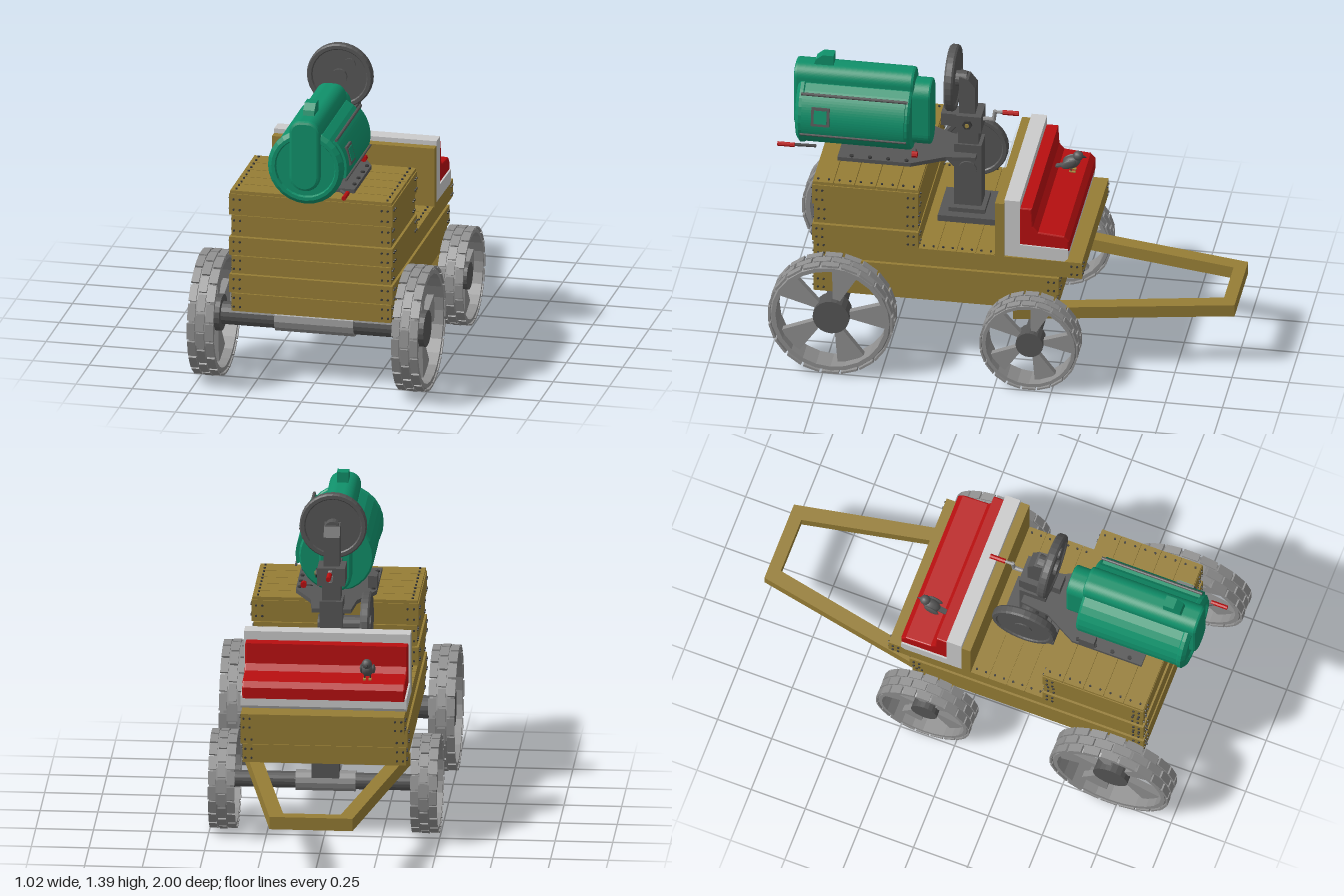
import * as THREE from 'three';
import { mergeGeometries } from 'three/addons/utils/BufferGeometryUtils.js';

const mat = (name, color) => Object.assign(new THREE.MeshStandardMaterial({ color }), { name });

export function createModel() {
  const root = new THREE.Group();
  root.name = 'wagon';
  const wood = mat('wood', 0x967d35), green = mat('green paint', 0x10906a), iron = mat('dark iron', 0x565656);
  const steel = mat('wheel steel', 0x8f8f8f), red = mat('red', 0xb80f10), white = mat('white frame', 0xcbcbcb);
  const black = mat('dark fittings', 0x3a3a3a), tan = mat('brass', 0xa08a40);

  const add = (name, geo, m, parent = root) => {
    const mesh = new THREE.Mesh(geo, m);
    mesh.name = name;
    parent.add(mesh);
    return mesh;
  };
  const flat = g => { const f = g.index ? g.toNonIndexed() : g; f.computeVertexNormals(); return f; };
  const boxGeo = (x0, x1, y0, y1, z0, z1) =>
    new THREE.BoxGeometry(x1 - x0, y1 - y0, z1 - z0).translate((x0 + x1) / 2, (y0 + y1) / 2, (z0 + z1) / 2);
  const box = (name, m, ...b) => add(name, boxGeo(...b), m);
  // Cylinder running from point a to point b
  const rodGeo = (a, b, r, sides = 12, r2 = r) => {
    const p = new THREE.Vector3(...a), d = new THREE.Vector3(...b).sub(p);
    const g = new THREE.CylinderGeometry(r2, r, d.length(), sides).translate(0, d.length() / 2, 0);
    g.applyQuaternion(new THREE.Quaternion().setFromUnitVectors(new THREE.Vector3(0, 1, 0), d.normalize()));
    return flat(g.translate(p.x, p.y, p.z));
  };
  const rod = (name, m, ...a) => add(name, rodGeo(...a), m);
  const extrude = (shape, depth, bevel = 0) => new THREE.ExtrudeGeometry(shape, {
    depth, bevelEnabled: bevel > 0, bevelSize: bevel, bevelThickness: bevel, bevelSegments: 2, curveSegments: 8 });
  const poly = pts => new THREE.Shape(pts.map(p => new THREE.Vector2(...p)));

  // Planked body: stacked rows over a recessed core, [bottom, top, back, front]
  const rows = [[.327, .408, -.25, .815], [.413, .496, -.26, .82], [.501, .58, -.36, .815],
    [.585, .667, .355, .82], [.672, .765, .358, .812], [.77, .865, .355, .82]];
  const bolts = [];
  const bolt = (x, y, z, nx, ny, nz) =>
    bolts.push(rodGeo([x, y, z], [x + nx * .006, y + ny * .006, z + nz * .006], .005, 6));
  rows.forEach(([y0, y1, z0, z1], i) => {
    const w = i % 2 ? .362 : .354, h = (y1 - y0) / 4;
    box('plank row', wood, -w, w, y0, y1, z0, z1);
    for (const s of [-1, 1]) for (const y of [y0 + h, y1 - h]) {
      for (const x of [.315, .342]) { bolt(s * x, y, z1, 0, 0, 1); bolt(s * x, y, z0, 0, 0, -1); }
      for (const d of [.02, .045]) { bolt(s * w, y, z1 - d, s, 0, 0); bolt(s * w, y, z0 + d, s, 0, 0); }
    }
  });
  box('lower core', wood, -.34, .34, .335, .575, -.24, .8);
  box('crate core', wood, -.345, .345, .575, .87, .368, .8);
  const boards = (z0, z1, n, y0, y1) => {
    const step = (z1 - z0) / n;
    for (let i = 0; i < n; i++) {
      const z = z0 + i * step;
      box('top board', wood, -.358, .358, y0, y1, z + .002, z + step - .002);
      for (const s of [-1, 1]) for (const t of [.25, .75]) bolt(s * .335, y1, z + step * t, 0, 1, 0);
    }
  };
  boards(.355, .82, 5, .866, .88);
  boards(.02, .355, 4, .578, .586);
  add('bolts', mergeGeometries(bolts), black);

  // Pull frame
  const frame = poly([[-.36, .06], [-.18, 1], [.18, 1], [.36, .06], [.3, .06], [.125, .945], [-.125, .945], [-.3, .06]]);
  add('pull frame', extrude(frame, .056).rotateX(-Math.PI / 2).translate(0, .27, 0), wood);

  // Bench: side profile drawn with -z to the right, extruded across the wagon
  const across = (shape, w, bevel = 0) =>
    extrude(shape, 2 * (w - bevel), bevel).translate(0, 0, bevel - w).rotateY(Math.PI / 2);
  box('bench back board', wood, -.36, .36, .58, .85, -.02, .02);
  add('bench frame', across(poly([[.022, .59], [.022, .87], [.09, .87], [.09, .65], [.3, .645], [.3, .6], [.285, .585]]), .36), white);
  add('bench cushion', across(poly([[.092, .64], [.092, .825], [.135, .825], [.14, .74], [.165, .71], [.28, .7],
    [.298, .68], [.298, .64]]), .352, .006), red);

  // Wheels
  const wheel = (x, y, z, r, hub) => {
    const g = new THREE.Group();
    g.name = 'wheel';
    const w = .054;
    const ring = [[r * .88, -w], [r * .95, -w], [r * .975, -w * .7], [r * .975, w * .7], [r * .95, w], [r * .88, w], [r * .88, -w]];
    add('rim', flat(new THREE.LatheGeometry(ring.map(p => new THREE.Vector2(...p)), 24).rotateX(Math.PI / 2)), steel, g);
    const lugs = [];
    for (let row = -1; row <= 1; row++) for (let i = 0; i < 20; i++) {
      const lug = new THREE.BoxGeometry(r * .035, r * .27, .034);
      lugs.push(lug.translate(r * .982, 0, row * .041).rotateZ((i + (row ? 0 : .5)) * Math.PI / 10));
    }
    add('tread', mergeGeometries(lugs), steel, g);
    for (let i = 0; i < 5; i++) {
      const a = (75 + 72 * i) * Math.PI / 180, c = t => [Math.cos(t), Math.sin(t)];
      const at = (q, t) => c(a + t).map(v => v * q);
      const spoke = poly([at(hub * .9, -.2), at(r * .9, -.26), at(r * .9, .26), at(hub * .9, .2)]);
      add('spoke', extrude(spoke, .03).translate(0, 0, -.015), steel, g);
    }
    add('hub', rodGeo([0, 0, -.04], [0, 0, .04], hub, 20), iron, g);
    g.position.set(x, y, z);
    g.rotation.y = Math.PI / 2;
    root.add(g);
  };
  for (const s of [-1, 1]) {
    wheel(s * .453, .28, .716, .273, .08);
    wheel(s * .438, .218, -.15, .215, .06);
  }
  rod('large axle', iron, [-.45, .28, .716], [.45, .28, .716], .05, 16);
  rod('large axle sleeve', steel, [-.175, .275, .716], [.175, .275, .716], .056, 12);
  rod('small axle', iron, [-.44, .22, -.15], [.44, .22, -.15], .036, 16);
  rod('small axle sleeve', steel, [-.13, .22, -.15], [.13, .22, -.15], .046, 12);
  box('small axle mount', iron, -.06, .06, .24, .34, -.19, -.11);

  // Engine barrel with a wrap-round hump
  const cy = 1.05;
  const barrel = [[0, .43], [.155, .43], [.163, .44], [.163, .895], [.168, .9], [.168, .915], [.15, .93], [.135, .93], [.13, .92], [0, .92]];
  add('barrel', flat(new THREE.LatheGeometry(barrel.map(p => new THREE.Vector2(...p)), 28)
    .rotateX(Math.PI / 2).scale(1, 1, 1).translate(0, cy, 0)), green).material.side = THREE.DoubleSide;
  const arch = (w, y0, y1, r) => {
    const s = new THREE.Shape();
    s.absarc(0, y0 + w, w, Math.PI, 2 * Math.PI, false);
    s.absarc(w - r, y1 - r, r, 0, Math.PI / 2, false);
    s.absarc(r - w, y1 - r, r, Math.PI / 2, Math.PI, false);
    return s;
  };
  add('barrel hump', extrude(arch(.055, .96, 1.255, .04), .5, .013).translate(0, 0, .437), green);
  add('barrel back cover', extrude(arch(.06, .92, 1.21, .05), .08, .01).translate(0, 0, .36), green);
  add('chimney', across(poly([[-.875, 1.24], [-.86, 1.29], [-.83, 1.315], [-.782, 1.315], [-.782, 1.24]]), .025), green);
  // Curved side panel with hinge rods and a window
  const panel = new THREE.Shape();
  panel.absarc(0, 0, .178, -.25, .78, false);
  panel.absarc(0, 0, .15, .78, -.25, true);
  add('side panel', extrude(panel, .45).translate(0, cy, .45), green);
  rod('upper hinge rod', iron, [.132, 1.178, .44], [.132, 1.178, .905], .007, 8);
  rod('lower hinge rod', iron, [.176, 1.0, .44], [.176, 1.0, .905], .005, 8);
  const win = new THREE.Group();
  win.name = 'window';
  win.position.set(0, cy, .815);
  win.rotation.z = .24;
  add('window frame', boxGeo(.172, .184, -.042, .042, -.04, .04), iron, win);
  add('window pane', boxGeo(.182, .187, -.03, .03, -.028, .028), green, win);
  root.add(win);
  rod('lever rod', iron, [.14, .925, .84], [.185, .95, .94], .007, 8);
  rod('lever grip', red, [.188, .95, .925], [.188, .95, 1], .01, 8);
  rod('red knob', red, [.14, .925, .395], [.14, .925, .42], .014, 8);
  rod('knob stem', iron, [.1, .925, .41], [.14, .925, .41], .007, 8);

  // Mounting plate
  const plate = poly([[-.175, -.74], [.175, -.74], [.175, -.42], [.1, -.28], [.085, -.15], [-.085, -.15], [-.1, -.28], [-.175, -.42]]);
  add('mounting plate', extrude(plate, .018).rotateX(-Math.PI / 2).translate(0, .882, 0), iron);
  box('plate bracket', iron, -.175, -.135, .89, .955, .45, .52);
  for (const s of [-1, 1]) for (const z of [.44, .52, .6, .68])
    rod('plate bolt', black, [s * .16, .9, z], [s * .16, .907, z], .009, 8);

  // Drive column
  box('column base', iron, -.115, .12, .585, .615, .06, .31);
  box('column foot', iron, -.08, .08, .615, .635, .11, .27);
  box('column', iron, -.05, .05, .63, .94, .13, .25);
  box('column neck', iron, -.04, .04, .93, 1.02, .145, .235);
  box('gear box', iron, -.06, .06, 1.01, 1.09, .13, .24);
  box('gear box nose', iron, -.035, .035, 1.02, 1.08, .23, .31);
  rod('gear nut', black, [.055, 1.05, .19], [.07, 1.05, .19], .022, 6);
  rod('gear pin', tan, [.07, 1.05, .19], [.075, 1.05, .19], .01, 8);
  add('column head', across(poly([[-.23, 1.08], [-.23, 1.27], [-.19, 1.26], [-.16, 1.22], [-.16, 1.08]]), .035), iron);
  rod('lower shaft', iron, [-.17, .82, .19], [.06, .82, .19], .04, 16);
  // Flywheels share one rimmed profile
  const fly = () => flat(new THREE.LatheGeometry([[0, -.014], [.12, -.014], [.125, -.02], [.14, -.02], [.146, -.012],
    [.146, .012], [.14, .02], [.125, .02], [.12, .014], [0, .014]].map(p => new THREE.Vector2(...p)), 32));
  add('lower flywheel', fly().rotateZ(Math.PI / 2).translate(-.15, .82, .19), iron);
  add('upper flywheel', fly().rotateX(Math.PI / 2).translate(0, 1.245, .262), iron);
  rod('upper shaft', iron, [0, 1.245, .2], [0, 1.245, .29], .035, 16);
  rod('flywheel knob', iron, [.046, 1.305, .26], [.046, 1.305, .285], .025, 14);
  // Hand crank
  rod('crank shaft', steel, [0, 1.05, .14], [0, 1.05, .08], .01, 8);
  rod('crank arm', steel, [0, 1.045, .085], [0, 1.095, .078], .009, 8);
  rod('crank pin', steel, [0, 1.09, .085], [0, 1.09, .04], .007, 8);
  rod('crank grip', red, [0, 1.09, .045], [0, 1.09, -.025], .011, 8);

  // Bird on the bench
  const bird = new THREE.Group();
  bird.name = 'bird';
  bird.position.set(-.185, .7, -.225);
  const ball = (name, r, s, p, tilt = 0) => {
    const m = add(name, new THREE.SphereGeometry(r, 12, 8), iron, bird);
    m.scale.set(...s); m.position.set(...p); m.rotation.x = tilt;
  };
  ball('bird body', .03, [.9, .95, 1.4], [0, .052, 0], .45);
  ball('bird head', .022, [1, 1, 1.05], [0, .087, -.03]);
  for (const s of [-1, 1]) {
    ball('bird wing', .026, [.3, .75, 1.4], [s * .026, .054, .008], .5);
    add('bird leg', rodGeo([s * .012, 0, 0], [s * .012, .04, 0], .003, 6), black, bird);
    add('bird foot', boxGeo(s * .012 - .006, s * .012 + .006, 0, .014, -.02, .008), tan, bird);
  }
  add('bird beak', rodGeo([0, .085, -.046], [0, .082, -.068], .008, 8, .001), black, bird);
  add('bird tail', new THREE.BoxGeometry(.024, .008, .06).rotateX(.3).translate(0, .032, .05), iron, bird);
  root.add(bird);
  return root;
}
